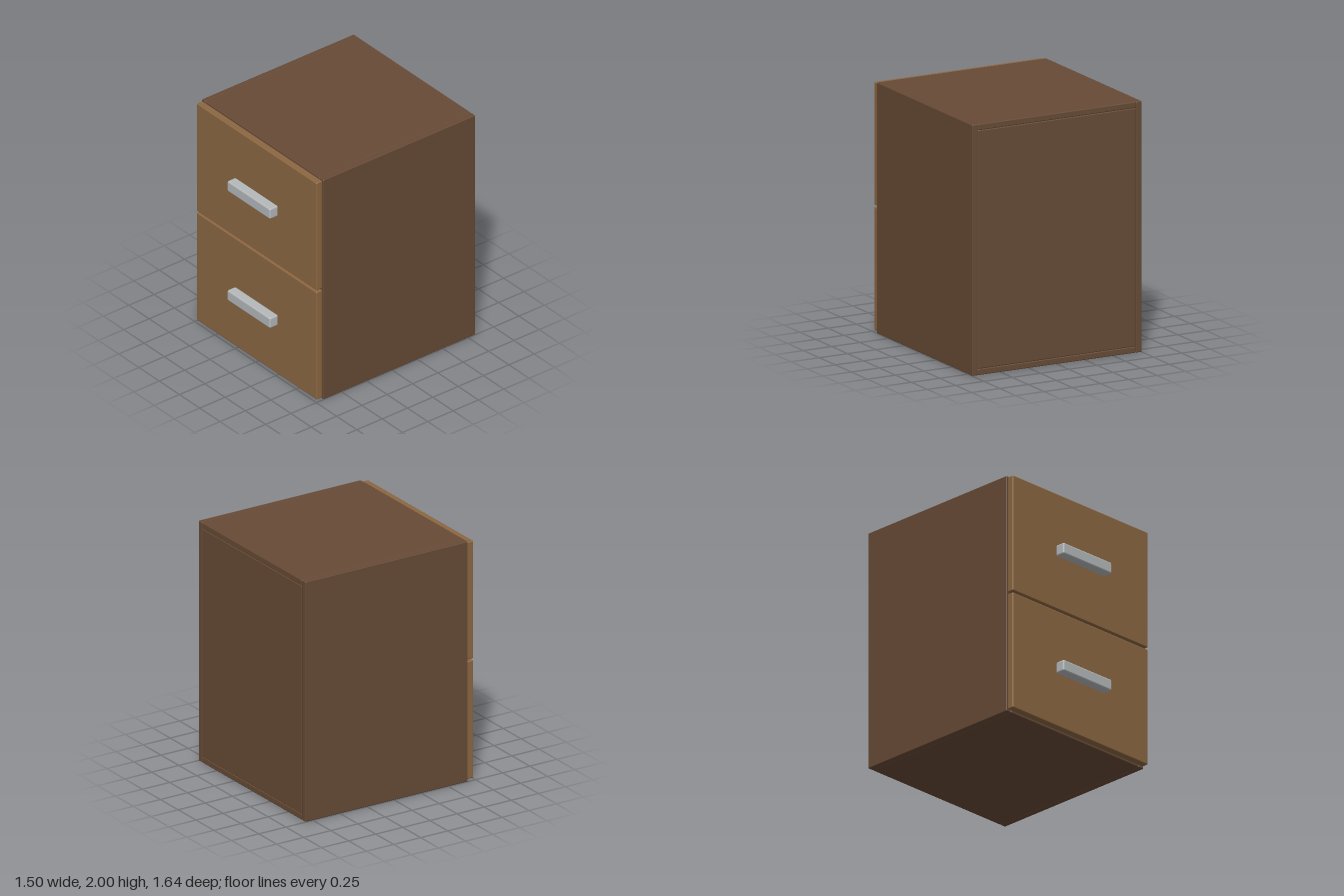
import * as THREE from 'three';
import { RoundedBoxGeometry } from 'three/addons/geometries/RoundedBoxGeometry.js';

const material = (name, color) => {
  const m = new THREE.MeshStandardMaterial({ color });
  m.name = name;
  return m;
};

export function createModel() {
  const darkWood = material('dark wood', 0x664a35);
  const lightWood = material('light wood', 0x8b6641);
  const metal = material('brushed metal', 0xb4b8ba);

  const model = new THREE.Group();
  model.name = 'drawerCabinet';

  // Softly bevelled board given by its minimum and maximum corners
  const board = (name, mat, min, max, bevel = 0.008, parent = model) => {
    const a = new THREE.Vector3(...min);
    const b = new THREE.Vector3(...max);
    const size = b.clone().sub(a);
    const mesh = new THREE.Mesh(new RoundedBoxGeometry(size.x, size.y, size.z, 2, bevel), mat);
    mesh.position.copy(a).add(b).multiplyScalar(0.5);
    mesh.name = name;
    parent.add(mesh);
    return mesh;
  };

  const back = -0.82, front = 0.68, inner = 0.7, outer = 0.75, thick = 0.05;

  // Carcass: two sides, top, bottom, divider and back
  board('leftSide', darkWood, [inner, 0, back], [outer, 2, front]);
  board('rightSide', darkWood, [-outer, 0, back], [-inner, 2, front]);
  board('topPanel', darkWood, [-inner, 2 - thick, back], [inner, 2, front]);
  board('bottomPanel', darkWood, [-inner, 0, back], [inner, thick, front]);
  board('divider', darkWood, [-inner, 1 - thick / 2, back + thick], [inner, 1 + thick / 2, front]);
  board('backPanel', darkWood, [-inner, thick, back], [inner, 2 - thick, back + thick]);

  // Two drawers, each a front with a bar handle
  [['lowerDrawer', 0.015], ['upperDrawer', 1.01]].forEach(([name, y]) => {
    const drawer = new THREE.Group();
    drawer.name = name;
    model.add(drawer);
    board('drawerFront', lightWood, [-0.74, y, front], [0.74, y + 0.98, 0.74], 0.01, drawer);
    board('handle', metal, [-0.265, y + 0.445, 0.735], [0.265, y + 0.54, 0.82], 0.014, drawer);
  });

  return model;
}
